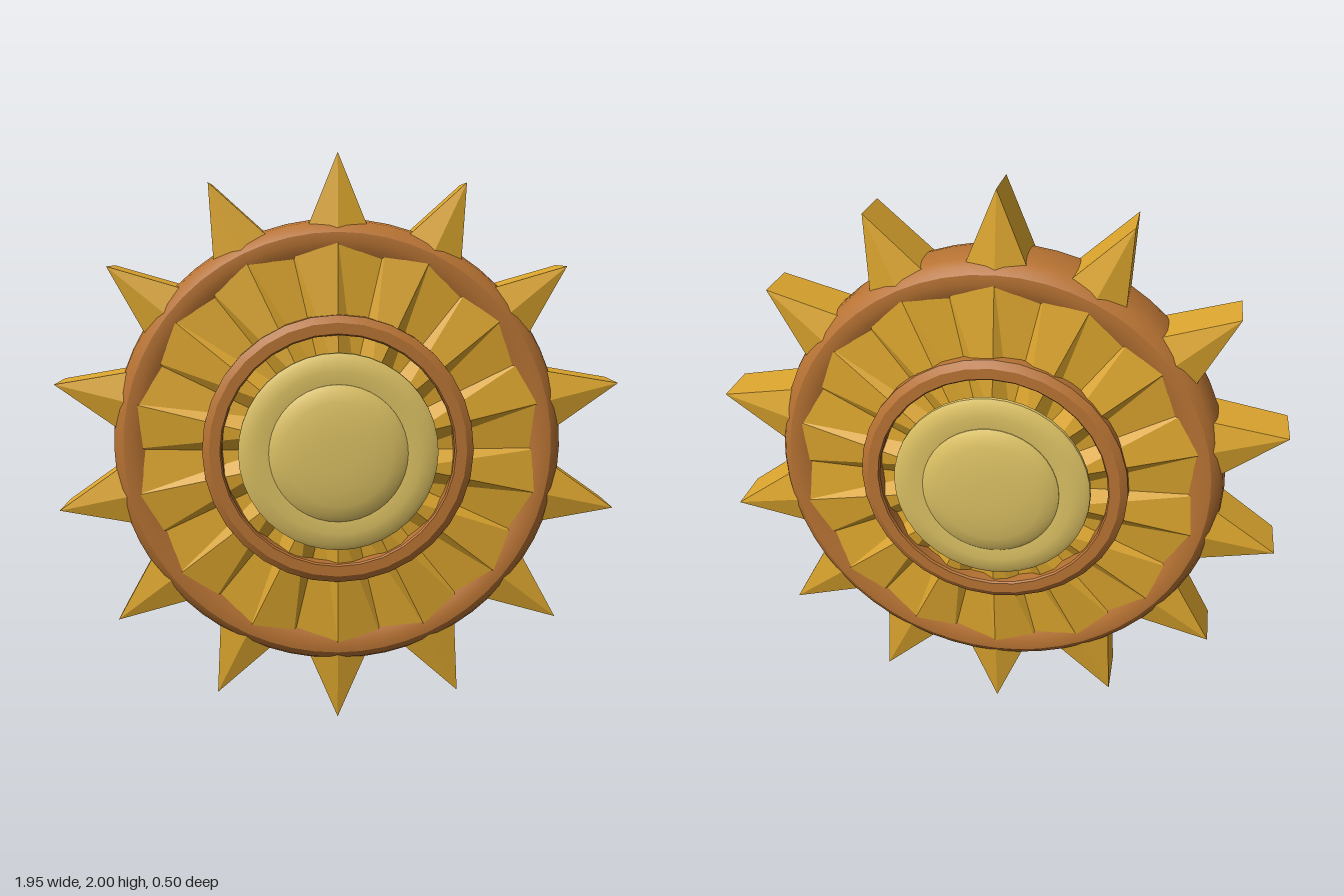
import * as THREE from 'three';
import { toCreasedNormals } from 'three/addons/utils/BufferGeometryUtils.js';

const COUNT = 14;
const gold = new THREE.MeshStandardMaterial({ color: 0xdda62e, flatShading: true });
const copper = new THREE.MeshStandardMaterial({ color: 0xb87333 });
const brass = new THREE.MeshStandardMaterial({ color: 0xddc264 });

// Turned part about the z axis; profile points are [radius, z]
function turned(profile, material, name, segments = 48) {
  const pts = profile.map(([r, z]) => new THREE.Vector2(r, z));
  const geo = toCreasedNormals(new THREE.LatheGeometry(pts, segments), 0.55);
  geo.rotateX(Math.PI / 2);
  const mesh = new THREE.Mesh(geo, material);
  mesh.name = name;
  return mesh;
}

// Faceted surface from a list of triangles
function faceted(triangles) {
  const geo = new THREE.BufferGeometry();
  geo.setAttribute('position', new THREE.Float32BufferAttribute(triangles.flat(2), 3));
  geo.computeVertexNormals();
  return geo;
}

// Wedge spike: six-sided foot narrowing to an edge along z
function spikeGeometry() {
  const w = 0.124, y = 0.7;
  const foot = [[w, y, 0.1], [w, y, -0.1], [0, y, -0.13], [-w, y, -0.1], [-w, y, 0.1], [0, y, 0.13]];
  const front = [0, 1, 0.09], back = [0, 1, -0.09];
  const [a, b, c, d, e, f] = foot;
  return faceted([
    [a, b, back], [a, back, front],
    [b, c, back], [c, d, back],
    [d, e, front], [d, front, back],
    [e, f, front], [f, a, front],
  ]);
}

// Pleated face: ridges in line with the spikes, valleys between them
function pleatedGeometry() {
  const inner = 0.25, outer = 0.72;
  const point = (i, r) => {
    const angle = Math.PI / 2 + (i * Math.PI) / COUNT;
    const t = (r - inner) / (outer - inner);
    const z = i % 2 ? 0.143 - 0.026 * t : 0.182 - 0.051 * t;
    return [r * Math.cos(angle), r * Math.sin(angle), z];
  };
  const tris = [];
  for (let i = 0; i < COUNT * 2; i++) {
    const a = point(i, inner), b = point(i, outer);
    const c = point(i + 1, outer), d = point(i + 1, inner);
    tris.push([a, b, c], [a, c, d]);
  }
  return faceted(tris);
}

export function createModel() {
  const model = new THREE.Group();
  const wheel = new THREE.Group();
  wheel.name = 'spikedWheel';
  wheel.position.y = 1;
  model.add(wheel);

  // Rounded outer rim
  const half = [[0.785, 0], [0.784, 0.045], [0.777, 0.085], [0.762, 0.115], [0.738, 0.133],
    [0.71, 0.135], [0.68, 0.127], [0.65, 0.114], [0.61, 0.09]];
  const mirrored = half.slice(1).reverse().map(([r, z]) => [r, -z]);
  wheel.add(turned([...mirrored, ...half], copper, 'rim', 56));

  // Spikes around the rim
  const spikes = new THREE.Group();
  spikes.name = 'spikes';
  const spikeGeo = spikeGeometry();
  for (let i = 0; i < COUNT; i++) {
    const spike = new THREE.Mesh(spikeGeo, gold);
    spike.name = 'spike';
    spike.rotation.z = (i * 2 * Math.PI) / COUNT;
    spikes.add(spike);
  }
  wheel.add(spikes);

  // Matching front and back faces
  for (const side of ['front', 'back']) {
    const face = new THREE.Group();
    face.name = side + 'Face';
    if (side === 'back') face.rotation.y = Math.PI;

    const plate = new THREE.Mesh(pleatedGeometry(), gold);
    plate.name = 'pleatedPlate';
    face.add(plate);

    face.add(turned([[0.465, 0.12], [0.465, 0.17], [0.44, 0.187], [0.403, 0.187], [0.398, 0.18],
      [0.398, 0.12]], copper, 'innerRing', 32));
    face.add(turned([[0.29, 0.14], [0.325, 0.18], [0.341, 0.19], [0.34, 0.203], [0.322, 0.213],
      [0.28, 0.22], [0.235, 0.216]], brass, 'hubCollar', 40));
    face.add(turned([[0.237, 0.2], [0.236, 0.219], [0.218, 0.23], [0.18, 0.24], [0.12, 0.247],
      [0.06, 0.25], [0, 0.25]], brass, 'hubDome', 40));
    wheel.add(face);
  }
  return model;
}
